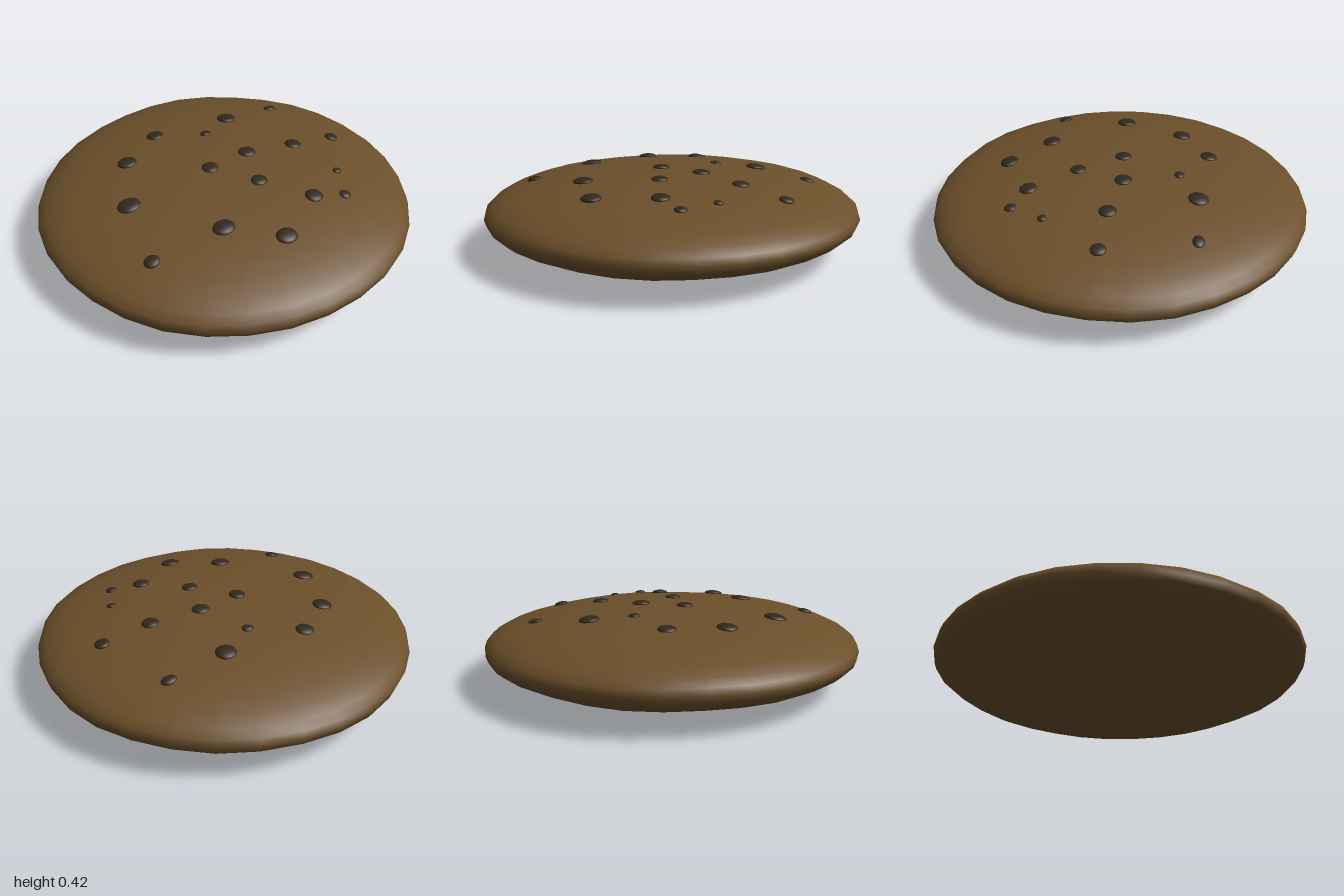
import * as THREE from 'three';

const RADIUS = 0.992, HALF = 0.201, MID = 0.203;

// height of the upper dough surface above the mid plane
const domeHeight = (x, z) =>
  HALF * Math.pow(Math.max(0, 1 - (x * x + z * z) / (RADIUS * RADIUS)), 0.47);

export function createModel() {
  const group = new THREE.Group();
  const doughMaterial = new THREE.MeshStandardMaterial({ color: 0x6b4f2a });
  const chipMaterial = new THREE.MeshStandardMaterial({ color: 0x32281c });

  // Dough: flattened sphere with a gently uneven rim
  const dough = new THREE.SphereGeometry(1, 32, 20);
  const p = dough.attributes.position;
  for (let i = 0; i < p.count; i++) {
    const x = p.getX(i), y = p.getY(i), z = p.getZ(i);
    const r = RADIUS + 0.004 * Math.sin(5 * x + 2 * z) * Math.cos(4 * z - x);
    const h = Math.sign(y) * Math.pow(Math.abs(y), 0.94) * HALF;
    p.setXYZ(i, x * r, h + 0.005 * Math.sin(7 * x) * Math.sin(6 * z + 1) * (1 - y * y), z * r);
  }
  dough.computeVertexNormals();
  // use the smooth ellipsoid normal so the seam and poles shade evenly
  const n = new THREE.Vector3();
  for (let i = 0; i < p.count; i++) {
    n.set(p.getX(i) / RADIUS ** 2, p.getY(i) / HALF ** 2, p.getZ(i) / RADIUS ** 2).normalize();
    dough.attributes.normal.setXYZ(i, n.x, n.y, n.z);
  }
  const cookie = new THREE.Mesh(dough, doughMaterial);
  cookie.name = 'cookieDough';
  cookie.position.y = MID;
  group.add(cookie);

  // Chips: x, z, radius along x, radius along z
  const chips = [
    [-0.19, -0.46, 0.048, 0.046], [0.255, -0.43, 0.053, 0.052], [0.57, -0.45, 0.040, 0.030],
    [-0.43, -0.295, 0.053, 0.050], [0.06, -0.32, 0.031, 0.027], [-0.565, 0.045, 0.060, 0.053],
    [-0.08, -0.005, 0.044, 0.045], [0.165, -0.04, 0.048, 0.046], [0.44, -0.005, 0.045, 0.045],
    [0.705, -0.005, 0.038, 0.039], [0.09, 0.21, 0.044, 0.042], [0.52, 0.30, 0.024, 0.023],
    [-0.62, 0.435, 0.040, 0.036], [-0.24, 0.43, 0.057, 0.049], [0.28, 0.43, 0.047, 0.046],
    [0.44, 0.48, 0.031, 0.031], [0.0, 0.61, 0.055, 0.048],
  ];
  const chipGeometry = new THREE.SphereGeometry(1, 16, 10);
  const chipGroup = new THREE.Group();
  chipGroup.name = 'chocolateChips';
  for (const [x, z, rx, rz] of chips) {
    const y = domeHeight(x, z);
    const chip = new THREE.Mesh(chipGeometry, chipMaterial);
    chip.name = 'chocolateChip';
    chip.position.set(x, MID + y + 0.001, z);
    chip.scale.set(rx, 0.006 + 0.22 * rx, rz);
    // lay the chip along the slope of the dough
    n.set(x / RADIUS ** 2, y / HALF ** 2, z / RADIUS ** 2).normalize();
    chip.quaternion.setFromUnitVectors(new THREE.Vector3(0, 1, 0), n);
    chipGroup.add(chip);
  }
  group.add(chipGroup);
  return group;
}
